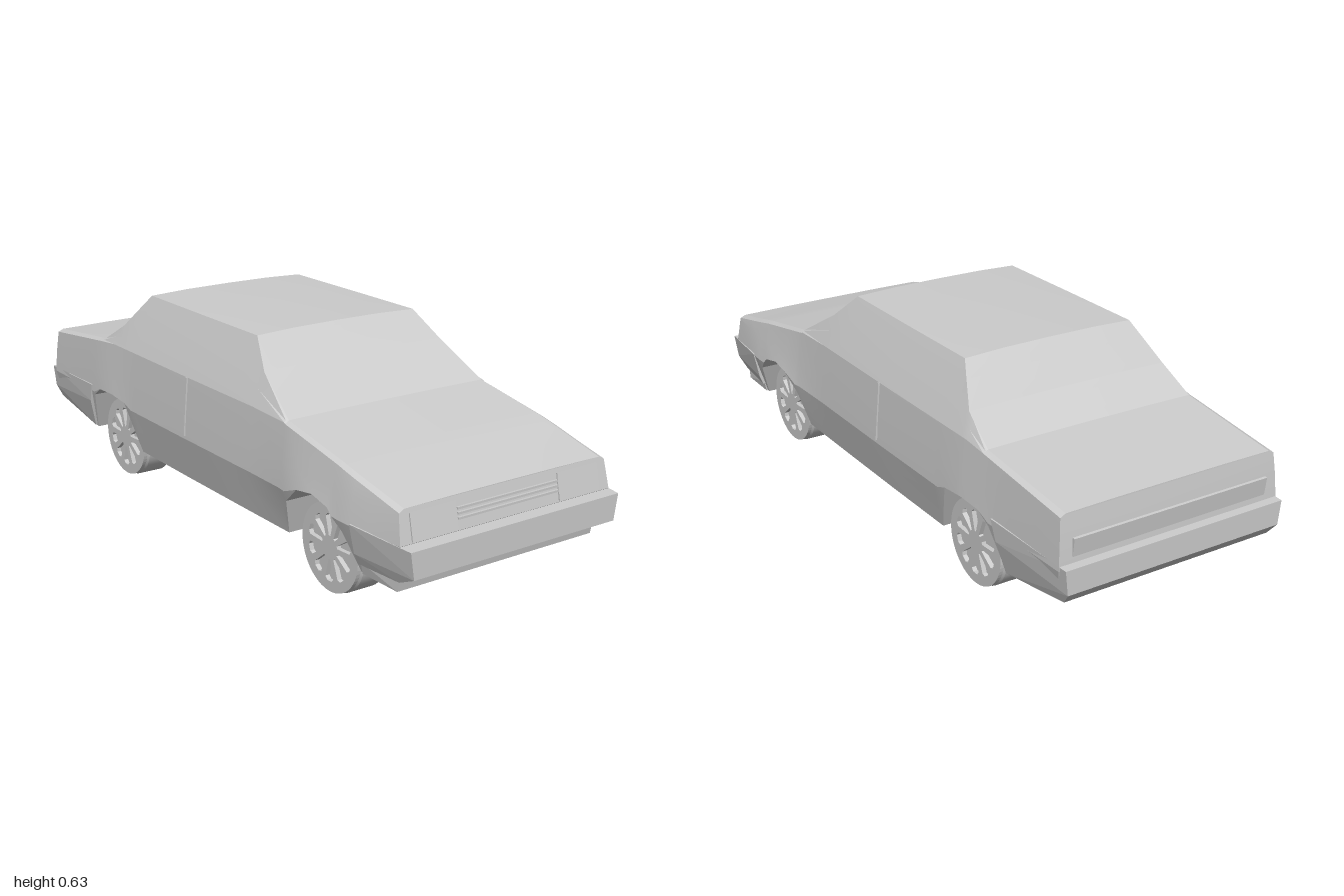
import * as THREE from 'three';
import { toCreasedNormals } from 'three/addons/utils/BufferGeometryUtils.js';
import { ConvexGeometry } from 'three/addons/geometries/ConvexGeometry.js';

const grey = new THREE.MeshStandardMaterial({ color: 0xcccccc });

// Piecewise-linear curve through [t, value] points in ascending order
const curve = (pts) => (t) => {
  if (t <= pts[0][0]) return pts[0][1];
  for (let i = 1; i < pts.length; i++) {
    const [a, va] = pts[i - 1], [b, vb] = pts[i];
    if (t <= b) return va + (vb - va) * (t - a) / (b - a);
  }
  return pts[pts.length - 1][1];
};

// Body rules: along z
const topPts = [[-0.96, 0.41], [-0.62, 0.45], [-0.51, 0.515], [-0.41, 0.625], [0.2, 0.625],
  [0.29, 0.545], [0.45, 0.45], [0.7, 0.405], [0.94, 0.35]];
const archPts = [[-0.71, 0.12], [-0.665, 0.25], [-0.62, 0.28], [-0.535, 0.285], [-0.45, 0.275], [-0.39, 0.12],
  [0.445, 0.12], [0.475, 0.23], [0.54, 0.285], [0.61, 0.295], [0.68, 0.28], [0.735, 0.23], [0.775, 0.12]];
const topY = curve(topPts);
const arch = curve(archPts);
const floorY = curve([[-0.97, 0.165], [-0.71, 0.12]]);
const taper = curve([[-0.97, 0.965], [-0.6, 0.99], [0, 1], [0.75, 0.99], [0.96, 0.955]]);
const flare = curve([[-0.7, 0], [-0.55, 0.006], [-0.4, 0], [0.42, 0], [0.52, 0.014], [0.78, 0.014], [0.95, 0.004]]);
const inset = curve([[-0.96, 0.016], [-0.62, 0.014], [-0.51, 0], [0.29, 0], [0.45, 0.012], [0.94, 0.016]]);
const crown = curve([[-0.96, 0.002], [-0.62, 0.003], [-0.41, 0.006], [-0.1, 0.01], [0.2, 0.006], [0.45, 0.002]]);
// Body rules: up y
const profile = curve([[0.12, 0.345], [0.26, 0.376], [0.34, 0.371], [0.45, 0.361], [0.53, 0.328], [0.625, 0.284]]);
const flareY = curve([[0.12, 0], [0.25, 1], [0.31, 1], [0.36, 0]]);
const noseZ = curve([[0.2, 0.9], [0.255, 0.962], [0.35, 0.942]]);
const tailZ = curve([[0.165, -0.95], [0.27, -0.977], [0.41, -0.96]]);

const halfWidth = (y, z) => profile(y) * taper(z) + flare(z) * flareY(y);

// Right half of a cross-section, from floor centre to roof centre
function halfSection(z) {
  const f = floorY(z), b = Math.max(f, arch(z)), t = topY(z);
  const belt = Math.min(t - 0.008, 0.45), mid = Math.min(0.53, (belt + t) / 2);
  const edge = halfWidth(t, z) - inset(z);
  const side = [b, Math.max(b, 0.2), Math.max(b, 0.26), Math.max(b, 0.335), belt]
    .map((y) => [halfWidth(y, z), y]);
  const midX = halfWidth(mid, z) - inset(z) * 0.5;
  return [[0, f], [0.22, f], [0.22, b], ...side, [midX, mid],
    [edge, t], [edge * 0.55, t + crown(z) * 0.8], [0, t + crown(z)]];
}

function bodyGeometry() {
  const zs = [...topPts, ...archPts].map((p) => p[0]).concat(-0.88, -0.1, 0.84).sort((a, b) => a - b);
  const pos = [], idx = [];
  let m = 0;
  zs.forEach((z, i) => {
    const half = halfSection(z);
    m = half.length;
    const loop = half.concat(half.slice(1, -1).reverse().map(([x, y]) => [-x, y]));
    for (const [x, y] of loop) {
      pos.push(x, y, i === 0 ? tailZ(y) : i === zs.length - 1 ? noseZ(y) : z);
    }
  });
  const n = 2 * m - 2, last = (zs.length - 1) * n;
  const quad = (a, b, c, d) => idx.push(a, b, c, a, c, d);
  for (let i = 0; i < zs.length - 1; i++) {
    for (let j = 0; j < n; j++) {
      const k = (j + 1) % n;
      quad(i * n + j, i * n + k, (i + 1) * n + k, (i + 1) * n + j);
    }
  }
  // Nose and tail panels
  for (let j = 0; j < m - 1; j++) {
    const l0 = (n - j) % n, l1 = n - j - 1;
    quad(last + l0, last + j, last + j + 1, last + l1);
    quad(j, l0, l1, j + 1);
  }
  const g = new THREE.BufferGeometry();
  g.setAttribute('position', new THREE.Float32BufferAttribute(pos, 3));
  g.setIndex(idx);
  return toCreasedNormals(g, 0.2);
}

// Convex solid from [halfWidth, y, z] corners mirrored across x
const mirroredHull = (corners) => new ConvexGeometry(
  corners.flatMap(([x, y, z]) => [new THREE.Vector3(x, y, z), new THREE.Vector3(-x, y, z)]));

// Wheel face with ten wedge-shaped slots
function wheelFace() {
  const s = new THREE.Shape().absarc(0, 0, 0.127, 0, Math.PI * 2);
  for (let i = 0; i < 10; i++) {
    const a = (i + 0.5) * Math.PI / 5;
    const at = (r, d) => new THREE.Vector2(r * Math.cos(a + d), r * Math.sin(a + d));
    s.holes.push(new THREE.Path([at(0.035, -0.1), at(0.09, -0.2), at(0.098, -0.1),
      at(0.098, 0.1), at(0.09, 0.2), at(0.035, 0.1)]));
  }
  return new THREE.ExtrudeGeometry(s, { depth: 0.014, bevelEnabled: false, curveSegments: 32 });
}

export function createModel() {
  const car = new THREE.Group();
  car.name = 'car';
  const add = (name, geo, x = 0, y = 0, z = 0, parent = car) => {
    const mesh = new THREE.Mesh(geo, grey);
    mesh.name = name;
    mesh.position.set(x, y, z);
    parent.add(mesh);
    return mesh;
  };
  const box = (name, w, h, d, x, y, z) => add(name, new THREE.BoxGeometry(w, h, d), x, y, z);

  add('body', bodyGeometry());

  // Bumpers wrap round to the wheel arches
  add('frontBumper', mirroredHull([
    [0.362, 0.257, 1], [0.35, 0.18, 1], [0.345, 0.15, 0.935],
    [0.388, 0.266, 0.78], [0.37, 0.18, 0.78], [0.358, 0.15, 0.78]]));
  add('frontLip', mirroredHull([
    [0.342, 0.155, 0.932], [0.342, 0.12, 0.925], [0.352, 0.155, 0.785], [0.345, 0.12, 0.785]]));
  add('rearBumper', mirroredHull([
    [0.36, 0.272, -1], [0.352, 0.2, -1], [0.342, 0.165, -0.972],
    [0.374, 0.281, -0.68], [0.37, 0.22, -0.7], [0.346, 0.125, -0.715]]));

  // Grille and lamps on the sloping nose
  for (const y of [0.292, 0.305, 0.318]) box('grilleSlat', 0.35, 0.006, 0.012, 0, y, noseZ(y));
  for (const side of [-1, 1]) {
    const lamp = box('headlight', 0.15, 0.075, 0.008, side * 0.252, 0.3, noseZ(0.3));
    lamp.rotation.x = -0.21;
    box('doorSeam', 0.008, 0.18, 0.006, side * 0.369, 0.36, -0.065).rotation.z = side * 0.08;
  }
  box('tailLampPanel', 0.64, 0.055, 0.008, 0, 0.315, tailZ(0.315)).rotation.x = -0.12;

  // Wheels
  const tyre = new THREE.CylinderGeometry(0.13, 0.13, 0.078, 40).rotateZ(Math.PI / 2);
  const shoulder = new THREE.CylinderGeometry(0.127, 0.13, 0.008, 40, 1, true).rotateZ(-Math.PI / 2);
  const face = wheelFace().rotateY(Math.PI / 2);
  for (const z of [0.615, -0.535]) {
    for (const side of [1, -1]) {
      const wheel = new THREE.Group();
      wheel.name = (z > 0 ? 'front' : 'rear') + (side > 0 ? 'Left' : 'Right') + 'Wheel';
      wheel.position.set(side * 0.28, 0.13, z);
      wheel.rotation.y = side > 0 ? 0 : Math.PI;
      add('tyre', tyre, -0.011, 0, 0, wheel);
      add('tyreShoulder', shoulder, 0.032, 0, 0, wheel);
      add('spokedFace', face, 0.034, 0, 0, wheel);
      car.add(wheel);
    }
  }
  return car;
}
